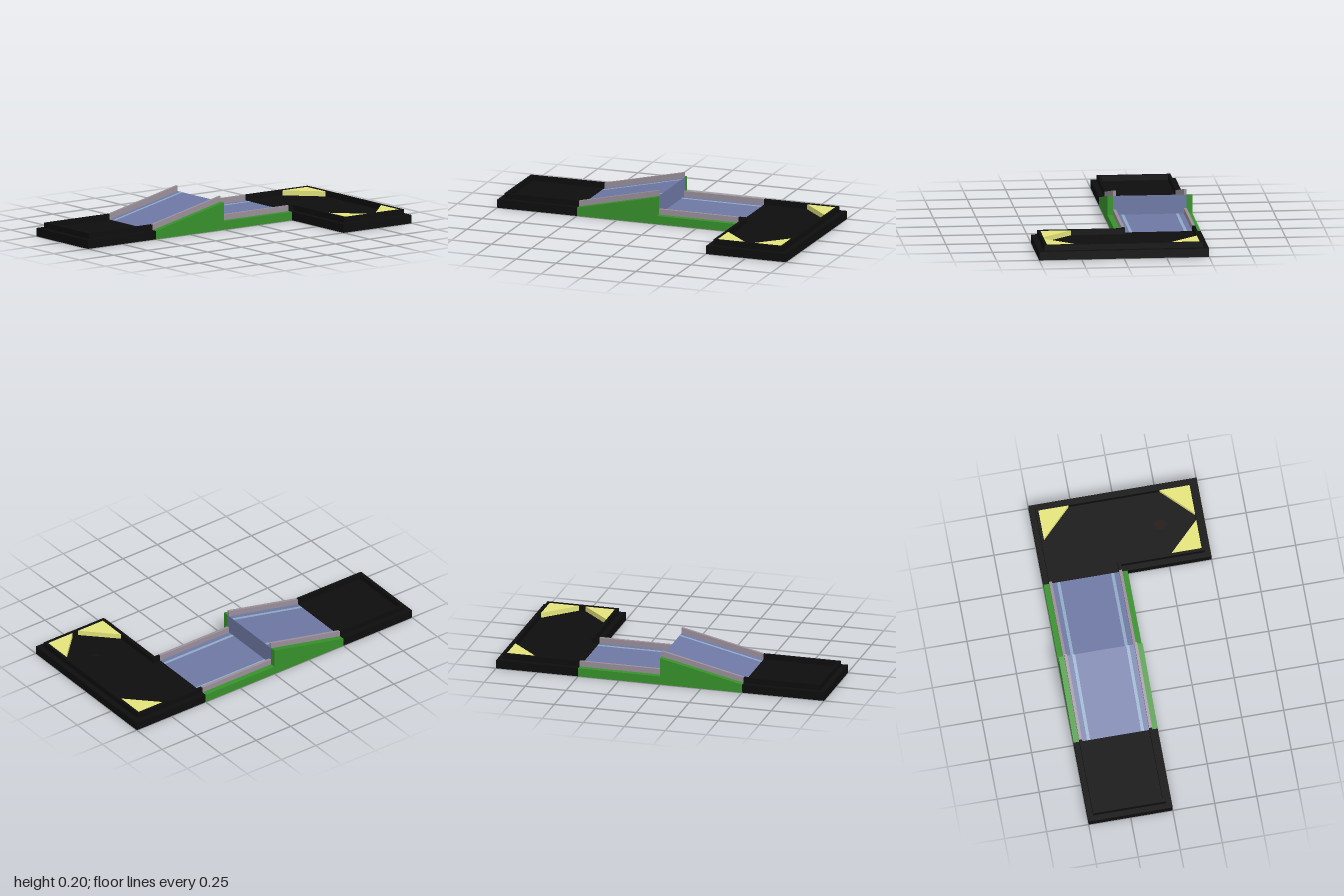
import * as THREE from 'three';

const BASE = 0.05, RAIL = 0.033, PEAK = 0.163;
const mat = (color) => new THREE.MeshStandardMaterial({ color });
const black = mat(0x0d0d0d), green = mat(0x37912b), blue = mat(0x6d78a4);
const stripeBlue = mat(0x8fa9c4), railGrey = mat(0x9a8f9a), yellow = mat(0xe4e47c);
const toShape = (pts) => new THREE.Shape(pts.map(([a, b]) => new THREE.Vector2(a, b)));

function add(parent, name, geometry, material) {
  const mesh = new THREE.Mesh(geometry, material);
  mesh.name = name;
  parent.add(mesh);
  return mesh;
}

// Plan outline of [x, z] points raised from y0 to y1, with optional round hole
function plan(pts, y0, y1, hole) {
  const shape = toShape(pts.map(([x, z]) => [x, -z]));
  if (hole) shape.holes.push(new THREE.Path().absarc(hole.x, -hole.z, hole.r, 0, Math.PI * 2, true));
  const g = new THREE.ExtrudeGeometry(shape, { depth: y1 - y0, bevelEnabled: false, curveSegments: 16 });
  return g.rotateX(-Math.PI / 2).translate(0, y0, 0);
}

// Side profile of [z, y] points stretched from x0 to x1
function profile(pts, x0, x1) {
  const g = new THREE.ExtrudeGeometry(toShape(pts), { depth: x1 - x0, bevelEnabled: false });
  return g.rotateY(-Math.PI / 2).translate(x1, 0, 0);
}

const rect = (x0, x1, z0, z1) => [[x0, z0], [x1, z0], [x1, z1], [x0, z1]];

// Outline of the lane with a ramp and a drop, between a floor and the surface
const laneProfile = (floor) => [[0.5, floor], [0.5, BASE], [0, PEAK], [0, BASE], [-0.5, BASE], [-0.5, floor]];

// Strips of given height lying on the ramp and on the flat stretch
function surfaceStrips(parent, name, x0, x1, h, material) {
  add(parent, name + 'Ramp', profile(
    [[0.5, BASE], [0.5, BASE + h], [0, PEAK + h], [0, PEAK]], x0, x1), material);
  add(parent, name + 'Flat', profile(
    [[0, BASE], [0, BASE + h], [-0.5, BASE + h], [-0.5, BASE]], x0, x1), material);
}

export function createModel() {
  const root = new THREE.Group();
  root.name = 'miniGolfCourse';

  // Start tile with a wall on three sides
  const start = new THREE.Group();
  start.name = 'startTile';
  root.add(start);
  add(start, 'startBase', plan(rect(-0.5, 0, 0.5, 1), 0, BASE), black);
  add(start, 'startWall', plan([
    [-0.467, 0.5], [-0.467, 0.967], [-0.033, 0.967], [-0.033, 0.5],
    [-0.05, 0.5], [-0.05, 0.95], [-0.45, 0.95], [-0.45, 0.5],
  ], BASE, BASE + RAIL), black);

  // Lane: green frame, blue bed, stripes and rails
  const lane = new THREE.Group();
  lane.name = 'lane';
  root.add(lane);
  add(lane, 'laneUnderside', plan(rect(-0.467, -0.033, -0.5, 0.5), 0, 0.01), green);
  add(lane, 'laneBed', profile(laneProfile(0.01), -0.467, -0.033), blue);
  for (const side of [-1, 1]) {
    // Mirrored about the lane's centre line x = -0.25
    const span = (near, far) => [-0.25 + side * near, -0.25 + side * far].sort((a, b) => a - b);
    const name = side > 0 ? 'left' : 'right';
    add(lane, name + 'Frame', profile(laneProfile(0), ...span(0.217, 0.25)), green);
    surfaceStrips(lane, name + 'Rail', ...span(0.2, 0.217), RAIL, railGrey);
    surfaceStrips(lane, name + 'Stripe', ...span(0.152, 0.17), 0.001, stripeBlue);
  }

  // End tile with the cup sunk into its floor
  const end = new THREE.Group();
  end.name = 'endTile';
  root.add(end);
  const hole = { x: 0.24, z: -0.755, r: 0.038 };
  const area = rect(-0.5, 0.5, -1, -0.5);
  add(end, 'endFloor', plan(area, 0.01, BASE, hole), black);
  add(end, 'endUnderside', plan(area, 0, 0.01), black);
  add(end, 'cupBottom', new THREE.CylinderGeometry(hole.r, hole.r, 0.004, 32), mat(0x1c0f08))
    .position.set(hole.x, 0.012, hole.z);
  add(end, 'endWall', plan([
    [-0.467, -0.5], [-0.467, -0.967], [0.467, -0.967], [0.467, -0.533],
    [-0.033, -0.533], [-0.033, -0.5], [-0.05, -0.5], [-0.05, -0.55],
    [0.45, -0.55], [0.45, -0.95], [-0.45, -0.95], [-0.45, -0.5],
  ], BASE, BASE + RAIL), black);

  // Triangular bumpers in three corners
  for (const [x, z, sx, sz] of [[-0.45, -0.95, 1, 1], [0.45, -0.95, -1, 1], [0.45, -0.55, -1, -1]]) {
    const pts = [[x, z], [x + sx * 0.18, z], [x, z + sz * 0.18]];
    add(end, 'cornerBumper', plan(pts, BASE, 0.08), yellow);
  }
  return root;
}
